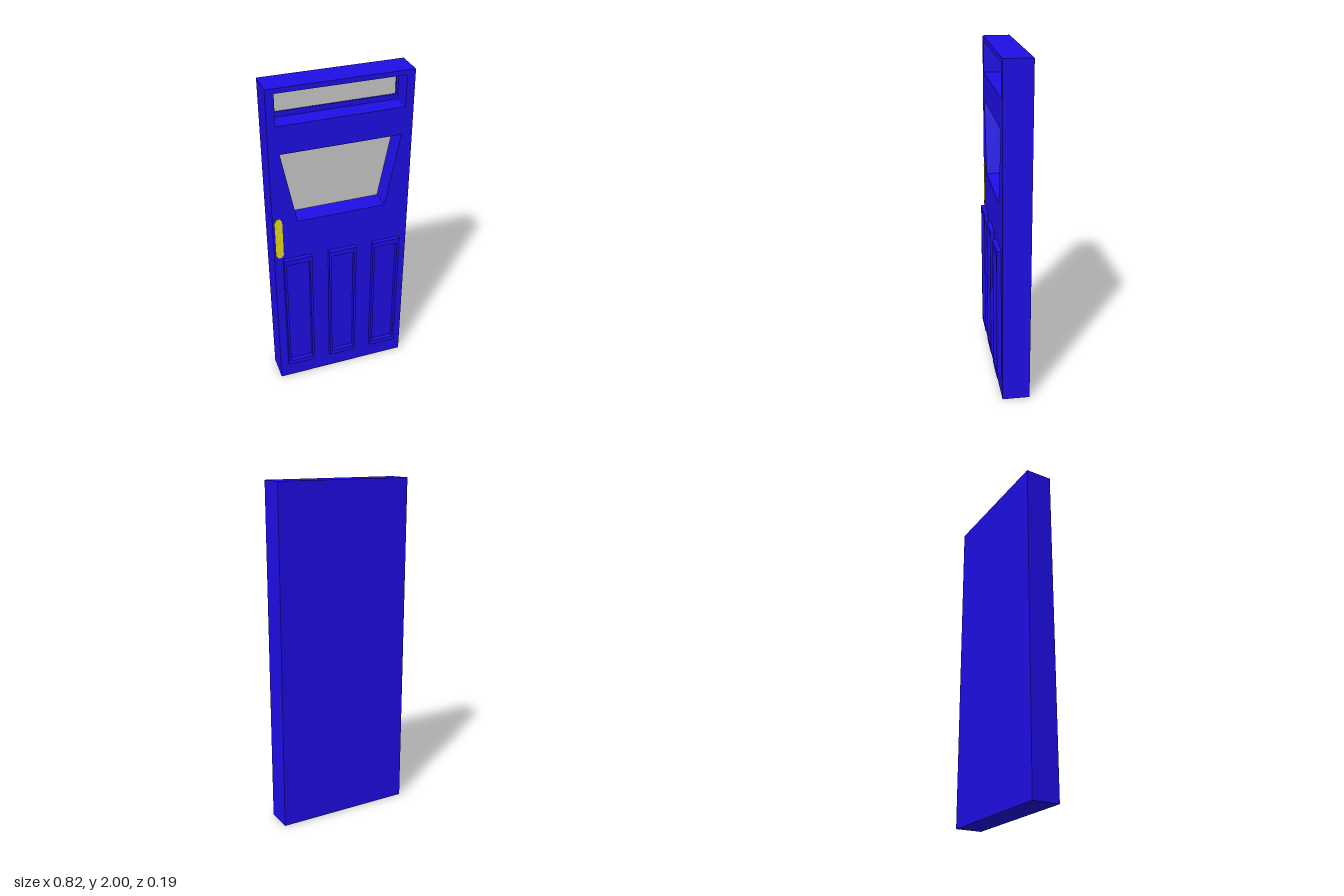
import * as THREE from 'three';

const BACK = -0.095, FACE = 0.067, GLASS = -0.05;

const blue = new THREE.MeshStandardMaterial({ color: 0x1e0ee8 });
const grey = new THREE.MeshStandardMaterial({ color: 0xcccccc });
const yellow = new THREE.MeshStandardMaterial({ color: 0xe8e012 });

const points = (list) => list.map(([x, y]) => new THREE.Vector2(x, y));
const rect = (x0, x1, y0, y1) => points([[x0, y0], [x1, y0], [x1, y1], [x0, y1]]);

// Flat plate with holes, spanning z0 to z1
function plate(name, outline, holes, z0, z1, material) {
  const shape = new THREE.Shape(outline);
  holes.forEach((h) => shape.holes.push(new THREE.Path(h)));
  const geometry = new THREE.ExtrudeGeometry(shape, { depth: z1 - z0, bevelEnabled: false });
  geometry.translate(0, 0, z0);
  const mesh = new THREE.Mesh(geometry, material);
  mesh.name = name;
  return mesh;
}

export function createModel() {
  const door = new THREE.Group();
  door.name = 'door';

  const leaf = rect(-0.41, 0.41, 0, 2);
  const topOpening = rect(-0.363, 0.363, 1.79, 1.972);
  const topPane = rect(-0.35, 0.35, 1.82, 1.945);
  const mainWindow = points([[-0.263, 1.185], [0.263, 1.185], [0.348, 1.625], [-0.348, 1.625]]);

  // Door leaf: solid back and pierced front
  door.add(plate('doorBack', leaf, [], BACK, GLASS - 0.005, blue));
  door.add(plate('doorFront', leaf, [topOpening, mainWindow], GLASS - 0.005, FACE, blue));

  // Recessed glazing
  door.add(plate('topWindowFrame', topOpening, [topPane], GLASS - 0.005, GLASS + 0.008, blue));
  door.add(plate('topWindowGlass', topPane, [], GLASS - 0.005, GLASS, grey));
  door.add(plate('mainWindowGlass', mainWindow, [], GLASS - 0.005, GLASS, grey));

  // Three raised panel mouldings
  [-0.275, 0, 0.275].forEach((x, i) => {
    const outer = rect(x - 0.085, x + 0.085, 0.115, 0.94);
    const inner = rect(x - 0.071, x + 0.071, 0.146, 0.907);
    door.add(plate('panelMoulding' + (i + 1), outer, [inner], FACE, 0.093, blue));
  });

  // Flat handle plate with chamfered ends
  const handle = points([
    [-0.386, 0.955], [-0.366, 0.955], [-0.354, 0.975], [-0.354, 1.2],
    [-0.366, 1.222], [-0.386, 1.222], [-0.398, 1.2], [-0.398, 0.975],
  ]);
  door.add(plate('handle', handle, [], FACE - 0.002, FACE + 0.002, yellow));

  return door;
}
